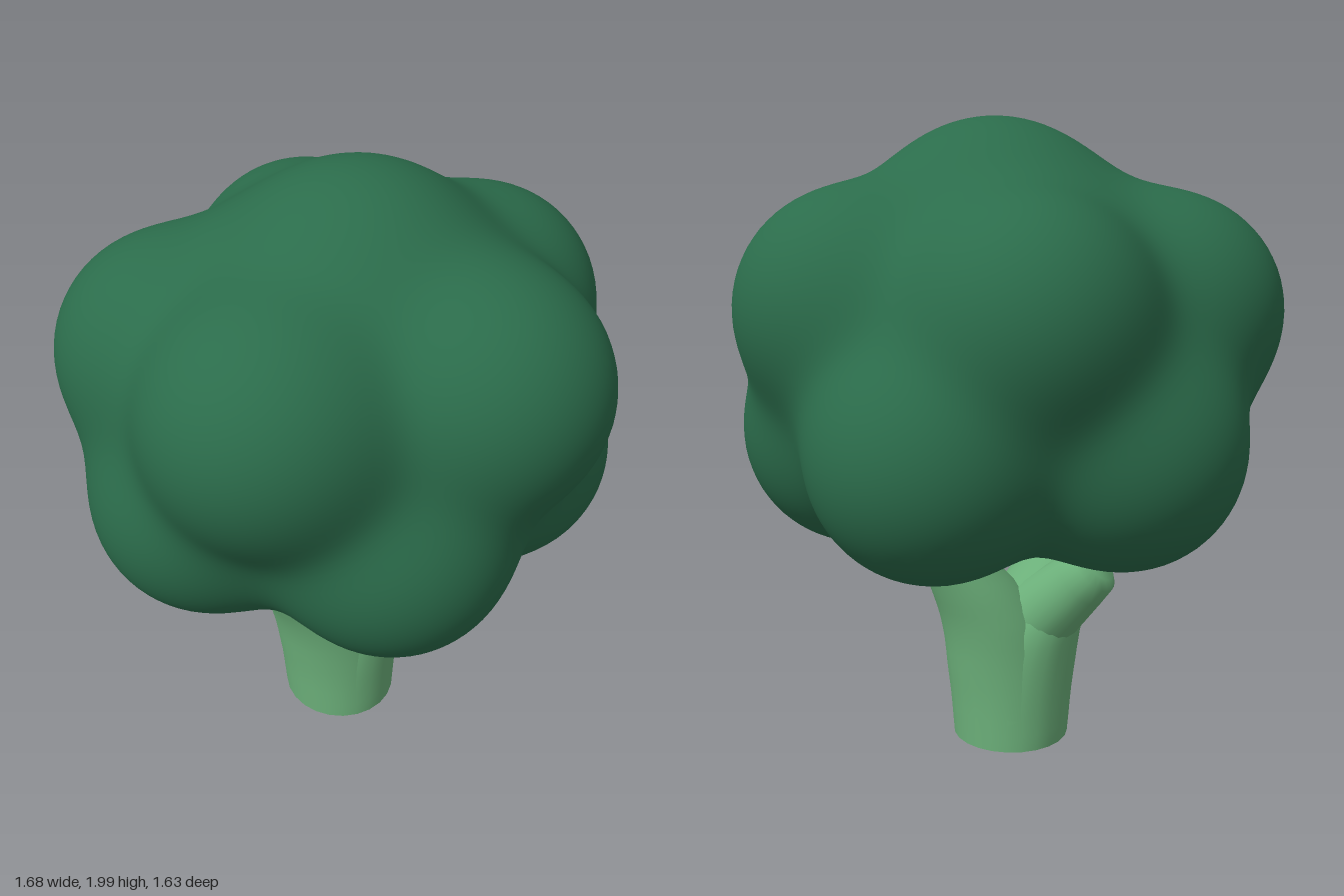
import * as THREE from 'three';
import { mergeVertices } from 'three/addons/utils/BufferGeometryUtils.js';

const crownGreen = new THREE.MeshStandardMaterial({ color: 0x2b6c4b });
crownGreen.name = 'dark leaf green';
const stemGreen = new THREE.MeshStandardMaterial({ color: 0x6cb07a });
stemGreen.name = 'light stem green';

// Lobes of the crown as x, y, z, radius
const lobes = [
  // core and top
  [0, 1.28, 0, 0.59],
  [0.025, 1.6, 0.07, 0.375],
  // upper ring: back, right, front right, front left, left
  [0.02, 1.41, -0.465, 0.35],
  [0.48, 1.42, -0.09, 0.355],
  [0.27, 1.44, 0.43, 0.365],
  [-0.33, 1.43, 0.385, 0.365],
  [-0.485, 1.4, -0.12, 0.355],
  // lower ring: front, front right, back right, back left, front left
  [0, 1.01, 0.45, 0.36],
  [0.455, 1.01, 0.13, 0.36],
  [0.29, 1.02, -0.41, 0.36],
  [-0.28, 1.02, -0.38, 0.36],
  [-0.455, 1.02, 0.11, 0.36],
].map(([x, y, z, r]) => ({ centre: new THREE.Vector3(x, y, z), r }));

// Sphere pushed out along each ray to the soft union of the lobes
function crownGeometry() {
  const soft = 0.065;
  const field = (p) => {
    let sum = 0;
    for (const { centre, r } of lobes) sum += Math.exp((r - p.distanceTo(centre)) / soft);
    return -soft * Math.log(sum);
  };
  let geo = new THREE.IcosahedronGeometry(1, 28);
  geo.deleteAttribute('uv');
  geo.deleteAttribute('normal');
  geo = mergeVertices(geo, 1e-4);
  const pos = geo.attributes.position;
  const middle = new THREE.Vector3(0, 1.25, 0);
  const dir = new THREE.Vector3();
  const p = new THREE.Vector3();
  for (let i = 0; i < pos.count; i++) {
    dir.fromBufferAttribute(pos, i).normalize();
    let lo = 0.3;
    let hi = 1.3;
    for (let k = 0; k < 18; k++) {
      const mid = (lo + hi) / 2;
      p.copy(middle).addScaledVector(dir, mid);
      if (field(p) < 0) lo = mid;
      else hi = mid;
    }
    p.copy(middle).addScaledVector(dir, lo);
    pos.setXYZ(i, p.x, p.y, p.z);
  }
  geo.computeVertexNormals();
  return geo;
}

// Limb lofted through level ellipses [x, y, z, half width, half depth]
function limbGeometry(sections, sides = 24) {
  const curve = (f) => new THREE.CatmullRomCurve3(sections.map(f));
  const centres = curve((s) => new THREE.Vector3(s[0], s[1], s[2]));
  const sizes = curve((s) => new THREE.Vector3(s[3], s[4], 0));
  const steps = 20;
  const verts = [];
  const index = [];
  for (let j = 0; j <= steps; j++) {
    const c = centres.getPoint(j / steps);
    const s = sizes.getPoint(j / steps);
    for (let i = 0; i < sides; i++) {
      const a = (i / sides) * Math.PI * 2;
      verts.push(c.x + Math.cos(a) * s.x, c.y, c.z + Math.sin(a) * s.y);
      if (j === steps) continue;
      const n = j * sides + i;
      const m = j * sides + ((i + 1) % sides);
      index.push(n, n + sides, m, m, n + sides, m + sides);
    }
  }
  const geo = new THREE.BufferGeometry();
  geo.setAttribute('position', new THREE.Float32BufferAttribute(verts, 3));
  geo.setIndex(index);
  geo.computeVertexNormals();
  return geo;
}

export function createModel() {
  const model = new THREE.Group();
  model.name = 'broccoliTree';
  const add = (name, geo, mat) => {
    const mesh = new THREE.Mesh(geo, mat);
    mesh.name = name;
    model.add(mesh);
    return mesh;
  };

  add('crown', crownGeometry(), crownGreen);

  // Stem that forks into two branches
  add('leftBranch', limbGeometry([
    [-0.015, 0, 0, 0.187, 0.198],
    [-0.005, 0.2, 0, 0.195, 0.19],
    [0.04, 0.38, -0.005, 0.172, 0.178],
    [0.108, 0.51, -0.015, 0.142, 0.158],
    [0.2, 0.65, -0.02, 0.1, 0.132],
    [0.26, 0.8, -0.02, 0.09, 0.11],
  ]), stemGreen);
  add('rightBranch', limbGeometry([
    [-0.015, 0, 0, 0.187, 0.198],
    [-0.025, 0.2, 0, 0.198, 0.19],
    [-0.075, 0.38, 0.005, 0.178, 0.18],
    [-0.148, 0.51, 0.03, 0.145, 0.155],
    [-0.225, 0.65, 0.055, 0.105, 0.128],
    [-0.27, 0.8, 0.06, 0.09, 0.11],
  ]), stemGreen);

  // Short thick side shoot at the back
  const from = new THREE.Vector3(-0.08, 0.38, -0.03);
  const to = new THREE.Vector3(-0.25, 0.59, -0.17);
  const length = from.distanceTo(to);
  const profile = [[0.13, 0], [0.115, 0.4], [0.098, 0.8], [0.088, 1], [0.06, 1.08], [0, 1.11]];
  const shoot = add('sideShoot', new THREE.LatheGeometry(
    profile.map(([r, t]) => new THREE.Vector2(r, t * length)), 20), stemGreen);
  shoot.position.copy(from);
  shoot.quaternion.setFromUnitVectors(new THREE.Vector3(0, 1, 0), to.clone().sub(from).normalize());

  // Cut face under the stem
  const base = add('stemBase', new THREE.CircleGeometry(1, 24), stemGreen);
  base.rotation.x = Math.PI / 2;
  base.scale.set(0.187, 0.198, 1);
  base.position.x = -0.015;

  return model;
}
